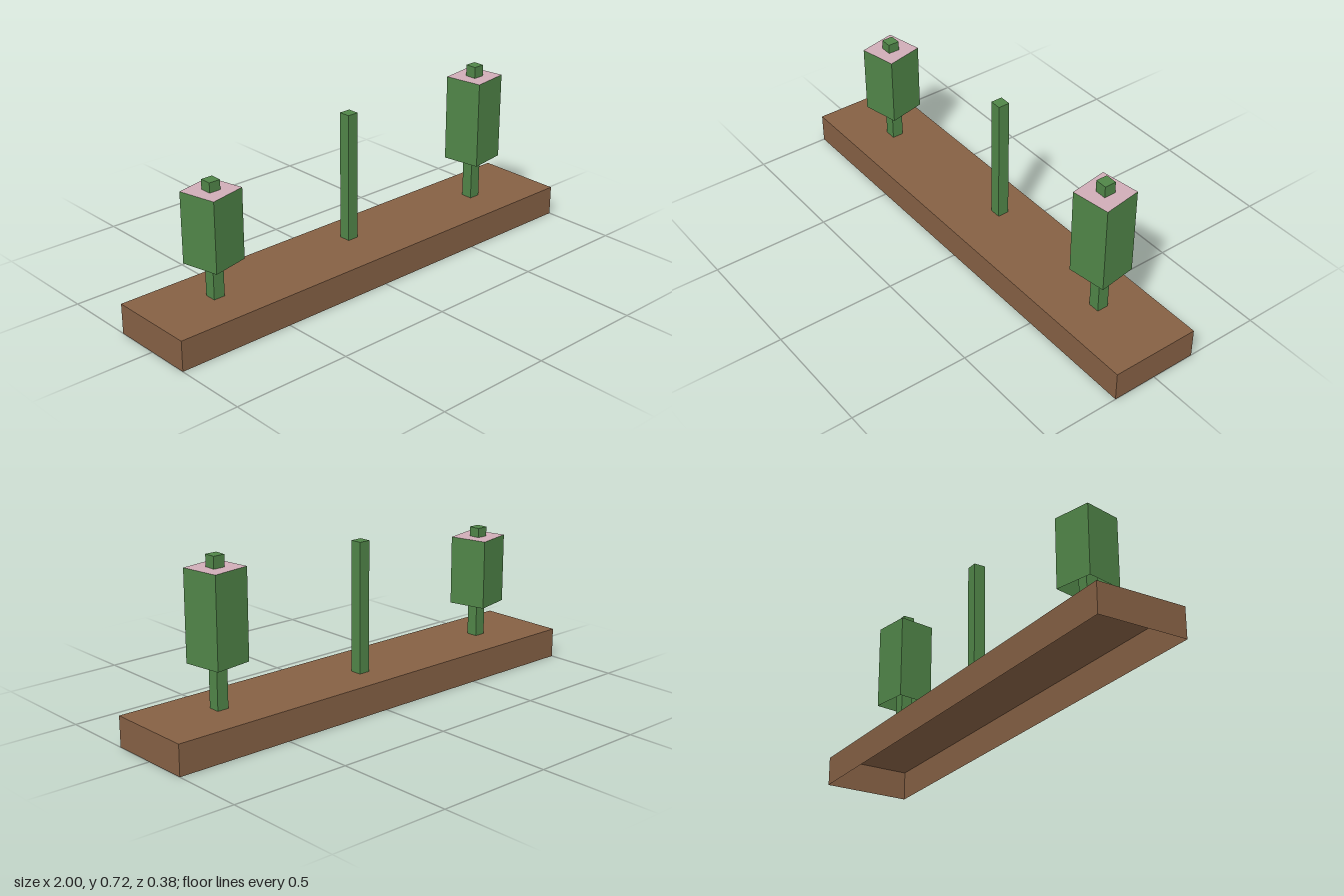
import * as THREE from 'three';

const mat = (name, color, side = THREE.FrontSide) => {
  const m = new THREE.MeshStandardMaterial({ color, side });
  m.name = name;
  return m;
};

// Box standing on y = 0 that keeps only the listed faces (0 +x, 1 -x, 2 +y, 3 -y, 4 +z, 5 -z)
function shell(w, h, d, faces) {
  const geo = new THREE.BoxGeometry(w, h, d).translate(0, h / 2, 0);
  const all = Array.from(geo.index.array);
  geo.setIndex(faces.flatMap((f) => all.slice(f * 6, f * 6 + 6)));
  geo.clearGroups();
  return geo;
}

export function createModel() {
  const group = new THREE.Group();
  const brown = mat('brown', 0x856044, THREE.DoubleSide);
  const green = mat('green', 0x508548, THREE.DoubleSide);
  const pink = mat('pink', 0xd0adb7, THREE.DoubleSide);

  const add = (name, geo, material, x, y, z, turn = 0) => {
    const mesh = new THREE.Mesh(geo, material);
    mesh.name = name;
    mesh.position.set(x, y, z);
    mesh.rotation.y = turn;
    group.add(mesh);
  };

  // Hollow planter, open underneath
  const baseH = 0.125;
  add('planter', shell(2, baseH, 0.375, [0, 1, 2, 4, 5]), brown, 0, 0, 0);

  // Stems, two of them carrying a turned square head with a pink top and open bottom
  const plants = [
    { name: 'right', x: -0.702, z: -0.003, top: 0.6, head: { y0: 0.27, y1: 0.56, size: 0.161, turn: 0.22 } },
    { name: 'middle', x: 0.008, z: -0.04, top: 0.665 },
    { name: 'left', x: 0.68, z: 0.003, top: 0.718, head: { y0: 0.305, y1: 0.67, size: 0.163, turn: 0.148 } },
  ];
  for (const { name, x, z, top, head } of plants) {
    add(name + 'Stem', shell(0.049, top - baseH, 0.049, [0, 1, 2, 4, 5]), green, x, baseH, z);
    if (!head) continue;
    const { y0, y1, size, turn } = head;
    add(name + 'HeadSides', shell(size, y1 - y0, size, [0, 1, 4, 5]), green, x, y0, z, turn);
    add(name + 'HeadTop', shell(size, y1 - y0, size, [2]), pink, x, y0, z, turn);
  }
  return group;
}
